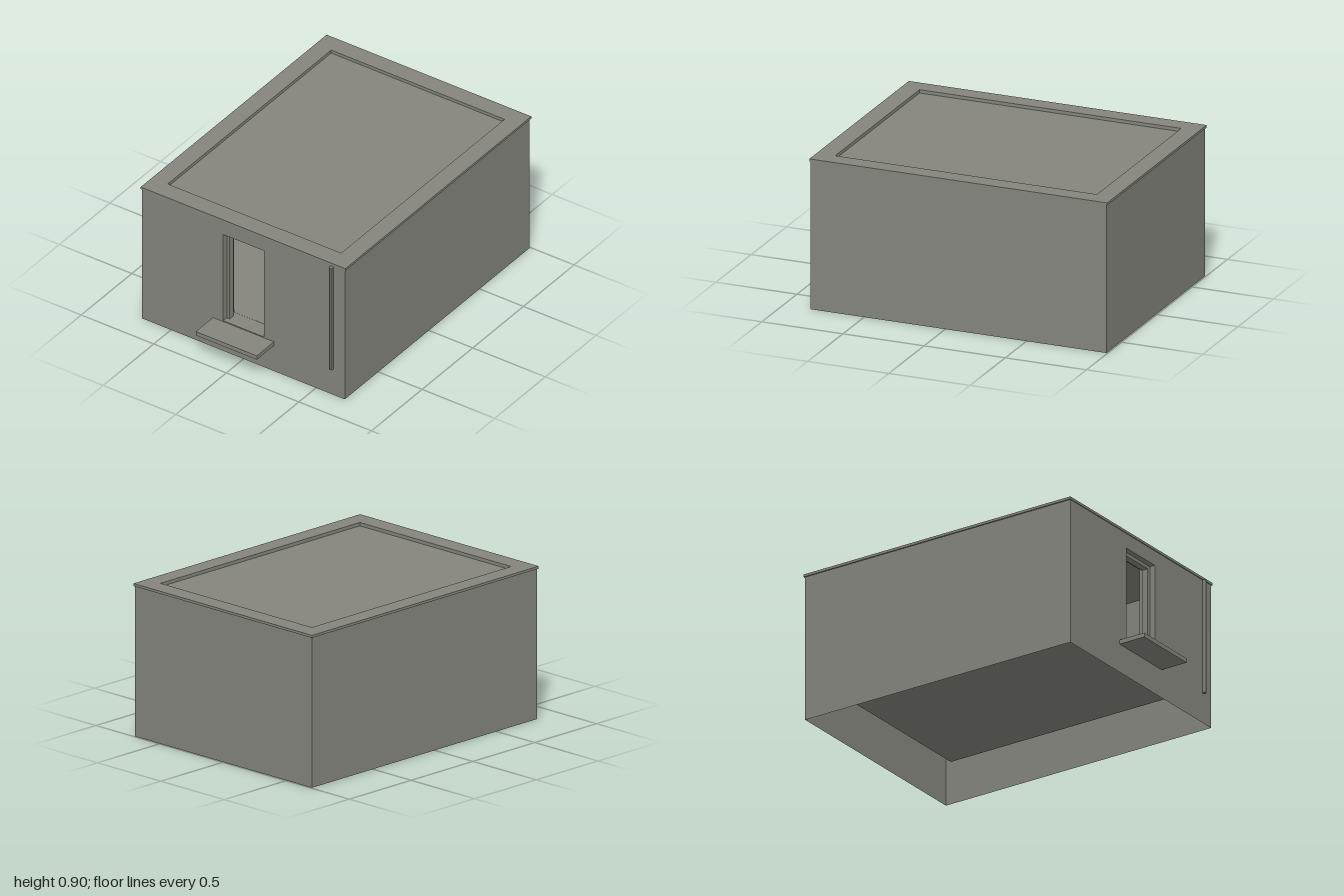
import * as THREE from 'three';

export function createModel() {
  const model = new THREE.Group();
  model.name = 'house';
  const concrete = new THREE.MeshStandardMaterial({ color: 0x85857e, side: THREE.DoubleSide, flatShading: true });
  concrete.name = 'concrete grey';

  const add = (name, geometry, x = 0, y = 0, z = 0, parent = model) => {
    const mesh = new THREE.Mesh(geometry, concrete);
    mesh.name = name;
    mesh.position.set(x, y, z);
    parent.add(mesh);
    return mesh;
  };
  const rect = (Type, x0, x1, y0, y1) => new Type().setFromPoints([
    new THREE.Vector2(x0, y0), new THREE.Vector2(x1, y0),
    new THREE.Vector2(x1, y1), new THREE.Vector2(x0, y1),
  ]);
  const slab = (name, x0, x1, z0, z1, y) =>
    add(name, new THREE.PlaneGeometry(x1 - x0, z1 - z0).rotateX(-Math.PI / 2), (x0 + x1) / 2, y, (z0 + z1) / 2);

  const door = { half: 0.14, bottom: 0.207, top: 0.8 };

  // Four thin wall skins; the front one has the doorway cut out
  function wallRing(name, half, back, front, y0, y1) {
    const ring = new THREE.Group();
    ring.name = name;
    model.add(ring);
    const depth = front - back, height = y1 - y0, midY = (y0 + y1) / 2, midZ = (front + back) / 2;
    for (const side of [-1, 1]) {
      const g = new THREE.PlaneGeometry(depth, height).rotateY(side * Math.PI / 2);
      add(side > 0 ? 'leftWall' : 'rightWall', g, side * half, midY, midZ, ring);
    }
    add('backWall', new THREE.PlaneGeometry(2 * half, height).rotateY(Math.PI), 0, midY, back, ring);
    const shape = rect(THREE.Shape, -half, half, y0, y1);
    // A floor level doorway is kept just clear of the wall edge
    shape.holes.push(rect(THREE.Path, -door.half, door.half, Math.max(door.bottom, y0 + 0.001), door.top));
    add('frontWall', new THREE.ShapeGeometry(shape), 0, 0, front, ring);
  }
  wallRing('outerWalls', 0.698, -0.993, 0.83, 0, 0.89);
  wallRing('innerWalls', 0.597, -0.89, 0.725, door.bottom, 0.87);

  // Room floor, ceiling and sunken roof deck
  slab('floor', -0.597, 0.597, -0.89, 0.725, door.bottom);
  slab('ceiling', -0.597, 0.597, -0.89, 0.725, 0.87);
  slab('roofDeck', -0.597, 0.597, -0.89, 0.722, 0.885);

  // Doorway lining through the wall thickness
  slab('threshold', -door.half, door.half, 0.725, 0.83, door.bottom);
  slab('doorwayHead', -door.half, door.half, 0.725, 0.83, door.top);
  const doorHeight = door.top - door.bottom;
  for (const side of [-1, 1]) {
    add('doorwaySide', new THREE.PlaneGeometry(0.105, doorHeight).rotateY(-side * Math.PI / 2),
      side * door.half, door.bottom + doorHeight / 2, 0.7775);
    // Door frame posts
    add('doorPost', new THREE.BoxGeometry(0.02, doorHeight, 0.04), side * 0.13, door.bottom + doorHeight / 2, 0.775);
  }
  add('doorLintel', new THREE.BoxGeometry(0.24, 0.02, 0.04), 0, door.top - 0.01, 0.775);

  // Roof coping ring with a slight overhang
  const coping = rect(THREE.Shape, -0.705, 0.705, -0.835, 1);
  coping.holes.push(rect(THREE.Path, -0.597, 0.597, -0.722, 0.89));
  const copingGeometry = new THREE.ExtrudeGeometry(coping, { depth: 0.022, bevelEnabled: false });
  const p = copingGeometry.attributes.position;
  // The inner edge reaches down to the deck, the outer edge is thinner
  for (let i = 0; i < p.count; i++) {
    if (p.getZ(i) === 0 && Math.abs(p.getX(i)) > 0.7) p.setZ(i, 0.007);
  }
  copingGeometry.rotateX(-Math.PI / 2);
  copingGeometry.computeVertexNormals();
  add('roofCoping', copingGeometry, 0, 0.883, 0);

  // Entrance step and downpipe
  add('entranceStep', new THREE.BoxGeometry(0.42, 0.026, 0.17), 0, 0.188, 0.915);
  add('downpipe', new THREE.CylinderGeometry(0.0125, 0.0125, 0.7, 8), 0.613, 0.533, 0.843);

  return model;
}
